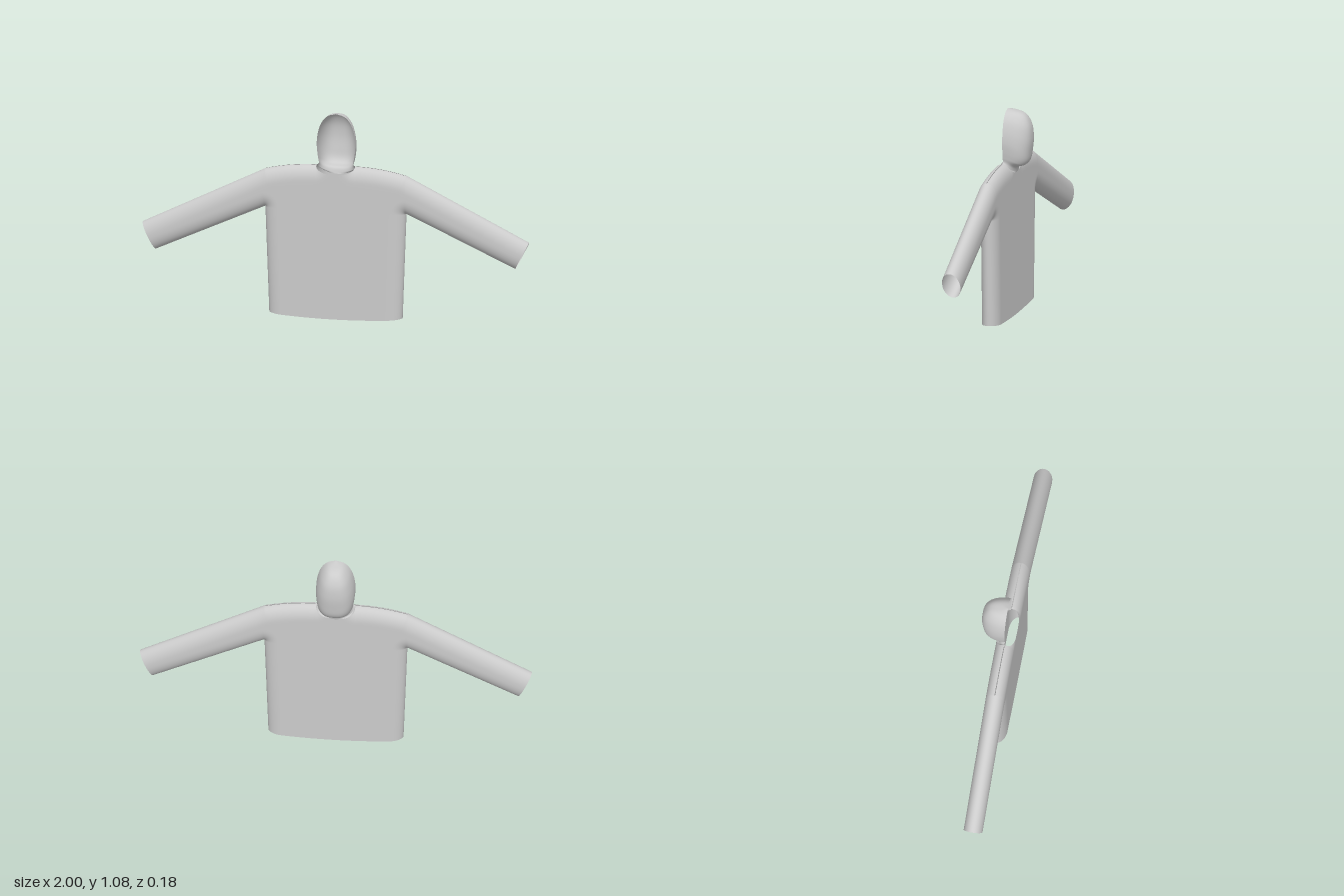
import * as THREE from 'three';
import { mergeGeometries, mergeVertices } from 'three/addons/utils/BufferGeometryUtils.js';

const material = new THREE.MeshStandardMaterial({ color: 0xcccccc, side: THREE.DoubleSide });

const MID_Z = 0.043;       // plane through the side seams
const HALF_DEPTH = 0.048;  // half thickness of the garment
const ROUNDING = 0.075;    // width of the rounded band along a seam
const NECK = 0.1;          // half width of the neck hole

const lerp = THREE.MathUtils.lerp;
const ease = (v) => (1 - Math.cos(Math.PI * v)) / 2; // denser towards both ends

// Outline of the left half
const shoulderY = (x) => 0.803 - 0.035 * (Math.max(Math.abs(x) - NECK, 0) / 0.265) ** 2;
const armpit = new THREE.Vector2(0.365, 0.57);
const shoulder = new THREE.Vector2(0.365, shoulderY(0.365));
const cuffLow = new THREE.Vector2(0.93, 0.31);
const cuffHigh = new THREE.Vector2(1, 0.45);
const hemCorner = new THREE.Vector2(0.345, 0.015);

// Closed seams: side, under the arm, and over the shoulder to the cuff
const seams = [[hemCorner, armpit], [armpit, cuffLow], [shoulder, cuffHigh]];
for (let i = 0; i < 10; i++) {
  const [p, q] = [i, i + 1].map((k) => {
    const x = lerp(NECK, shoulder.x, k / 10);
    return new THREE.Vector2(x, shoulderY(x));
  });
  seams.push([p, q]);
}

// The cloth swells from the seams to a flat front and back
function swell(x, y) {
  const p = new THREE.Vector2(Math.abs(x), y);
  let d = ROUNDING;
  for (const [a, b] of seams) {
    const ab = b.clone().sub(a);
    const t = THREE.MathUtils.clamp(p.clone().sub(a).dot(ab) / ab.lengthSq(), 0, 1);
    d = Math.min(d, p.distanceTo(ab.multiplyScalar(t).add(a)));
  }
  return HALF_DEPTH * Math.sqrt(Math.max(0, 1 - (1 - d / ROUNDING) ** 2));
}

// Grid surface from a rule f(u, v) -> [x, y, z]
function sheet(f, nu, nv) {
  const pos = [], index = [];
  for (let j = 0; j <= nv; j++) {
    for (let i = 0; i <= nu; i++) {
      pos.push(...f(i / nu, j / nv));
      if (i < nu && j < nv) {
        const a = j * (nu + 1) + i, c = a + nu + 1;
        index.push(a, a + 1, c + 1, a, c + 1, c);
      }
    }
  }
  const g = new THREE.BufferGeometry();
  g.setAttribute('position', new THREE.Float32BufferAttribute(pos, 3));
  g.setIndex(index);
  return g;
}

// Sew sheets together into one smooth mesh
function sew(name, sheets) {
  const g = mergeVertices(mergeGeometries(sheets), 1e-5);
  g.computeVertexNormals();
  const mesh = new THREE.Mesh(g, material);
  mesh.name = name;
  return mesh;
}

// Neckline height, dipping towards the middle
const neckY = (x, face) =>
  shoulderY(x) - (face > 0 ? 0.038 : 0.058) * Math.sqrt(Math.max(0, 1 - (x / NECK) ** 2));

// Columns of the torso, with one falling exactly on the neck corner
function columnX(u, width) {
  const s = 2 * u - 1, a = Math.abs(s);
  const x = a < 0.3
    ? NECK * Math.sin((a / 0.3) * Math.PI / 2)
    : NECK + (width - NECK) * Math.sin(((a - 0.3) / 0.7) * Math.PI / 2);
  return Math.sign(s) * x;
}

function createTorso() {
  const sheets = [];
  for (const face of [1, -1]) {
    const dir = (u) => (face > 0 ? u : 1 - u);
    // Hem to armpits
    sheets.push(sheet((u, v) => {
      const t = Math.sin(v * Math.PI / 2);
      const x = columnX(dir(u), lerp(hemCorner.x, armpit.x, t));
      const hem = hemCorner.y * Math.min(1, Math.abs(x) / hemCorner.x) ** 2;
      const y = lerp(hem, armpit.y, t);
      return [x, y, MID_Z + face * swell(x, y)];
    }, 80, 16));
    // Armpits to shoulders and neckline
    sheets.push(sheet((u, v) => {
      const x = columnX(dir(u), armpit.x);
      const top = Math.abs(x) < NECK ? neckY(x, face) : shoulderY(x);
      const y = lerp(armpit.y, top, ease(v));
      return [x, y, MID_Z + face * swell(x, y)];
    }, 80, 24));
  }
  return sew('torso', sheets);
}

function createSleeve(name, side) {
  const sheets = [1, -1].map((face) => sheet((u, v) => {
    const along = side * face > 0 ? u : 1 - u;
    const low = armpit.clone().lerp(cuffLow, along);
    const p = low.lerp(shoulder.clone().lerp(cuffHigh, along), ease(v));
    return [side * p.x, p.y, MID_Z + face * swell(p.x, p.y)];
  }, 20, 24));
  return sew(name, sheets);
}

// Hood: U-shaped sections between the opening's edge and the back profile
function createHood() {
  const spline = (pts) => new THREE.CatmullRomCurve3(pts.map(([a, b]) => new THREE.Vector3(a, b, 0)));
  const edge = spline([[0.1, 0.803], [0.089, 0.812], [0.092, 0.835], [0.097, 0.87], [0.1, 0.92],
    [0.092, 0.98], [0.073, 1.03], [0.043, 1.062], [0, 1.075]]);
  const back = spline([[0.048, 0.745], [0.06, 0.775], [0.098, 0.788], [0.115, 0.81], [0.125, 0.86],
    [0.131, 0.93], [0.122, 1.0], [0.09, 1.05], [0, 1.075]]);
  return sew('hood', [sheet((u, v) => {
    const c = Math.cos(u * Math.PI), s = Math.max(0, Math.sin(u * Math.PI));
    if (v === 0) { // joined to the back neckline
      const x = NECK * c, y = neckY(x, -1);
      return [x, y, MID_Z - swell(x, y)];
    }
    const e = edge.getPoint(v), b = back.getPoint(v);
    const power = lerp(1, 0.75, Math.min(1, v * 4));
    return [
      e.x * Math.sign(c) * Math.abs(c) ** power,
      lerp(e.y, b.y, s),
      MID_Z - b.x * s ** power,
    ];
  }, 24, 48)]);
}

export function createModel() {
  const group = new THREE.Group();
  group.name = 'hoodedSweater';
  group.add(
    createTorso(),
    createSleeve('leftSleeve', 1),
    createSleeve('rightSleeve', -1),
    createHood(),
  );
  return group;
}
